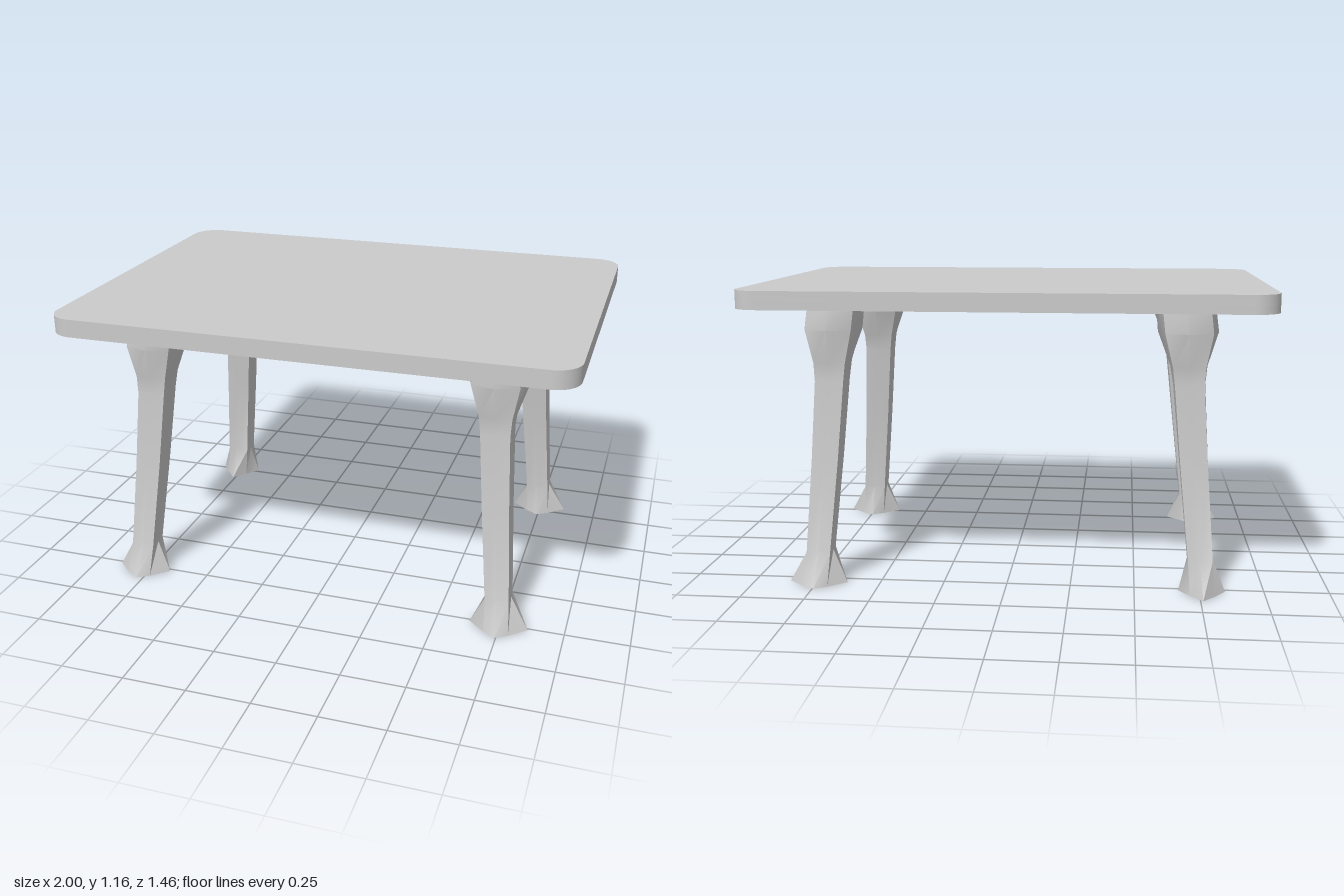
import * as THREE from 'three';
import { toCreasedNormals } from 'three/addons/utils/BufferGeometryUtils.js';

const material = new THREE.MeshStandardMaterial({ color: 0xcccccc });

function addMesh(group, geometry, name) {
  const mesh = new THREE.Mesh(geometry, material);
  mesh.name = name;
  group.add(mesh);
}

function roundedRect(w, d, r) {
  const s = new THREE.Shape();
  s.absarc(w - r, d - r, r, 0, Math.PI / 2);
  s.absarc(-w + r, d - r, r, Math.PI / 2, Math.PI);
  s.absarc(-w + r, -d + r, r, Math.PI, Math.PI * 1.5);
  s.absarc(w - r, -d + r, r, Math.PI * 1.5, Math.PI * 2);
  return s;
}

// Flat board lying between two heights
function board(shape, y0, y1) {
  const g = new THREE.ExtrudeGeometry(shape, { depth: y1 - y0, bevelEnabled: false, curveSegments: 8 });
  g.rotateX(-Math.PI / 2).translate(0, y0, 0);
  return toCreasedNormals(g, 0.6);
}

// Sections from floor to top: y, centre x, centre z, half x, half z, corner x, corner z
const sections = [
  [0, 0.745, 0.51, 0.115, 0.09, 0.048, 0.06],
  [0.13, 0.737, 0.497, 0.049, 0.046, 0.047, 0.044],
  [0.5, 0.709, 0.465, 0.054, 0.051, 0.052, 0.049],
  [0.8, 0.69, 0.442, 0.061, 0.058, 0.056, 0.054],
  [0.87, 0.688, 0.438, 0.07, 0.065, 0.062, 0.058],
  [1.0, 0.685, 0.428, 0.115, 0.115, 0.09, 0.09],
  [1.13, 0.672, 0.412, 0.112, 0.115, 0.09, 0.09],
];

// Squared leg that twists out into a pointed foot; dx and dz shift the foot
function legGeometry(sx, sz, dx, dz, footX, footZ) {
  const pos = [], idx = [];
  sections.forEach(([y, cx, cz, hx, hz, kx, kz], j) => {
    const fade = 1 - y / 1.13;
    const x = sx * (cx + dx * fade), z = sz * (cz + dz * fade);
    if (j === 0) { hx = footX; hz = footZ; }
    const ring = [[hx, 0], [kx, kz], [0, hz], [-kx, kz], [-hx, 0], [-kx, -kz], [0, -hz], [kx, -kz]];
    for (const [px, pz] of ring) pos.push(x + px, y, z + pz);
  });
  const last = sections.length - 1;
  for (let i = 0; i < 8; i++) {
    const n = (i + 1) % 8;
    for (let j = 0; j < last; j++) {
      const a = j * 8 + i, b = j * 8 + n;
      idx.push(a, a + 8, b, b, a + 8, b + 8);
    }
    // End caps
    if (i > 0 && i < 7) idx.push(0, i, n, last * 8, last * 8 + n, last * 8 + i);
  }
  const g = new THREE.BufferGeometry();
  g.setAttribute('position', new THREE.Float32BufferAttribute(pos, 3));
  g.setIndex(idx);
  return toCreasedNormals(g, 0.6);
}

export function createModel() {
  const group = new THREE.Group();
  const W = 1, D = 0.73, rim = 0.1;

  // Table top with a rim around a shallow recess below
  addMesh(group, board(roundedRect(W, D, 0.1), 1.125, 1.165), 'tableTop');
  const frame = roundedRect(W, D, 0.1);
  const w = W - rim, d = D - rim;
  frame.holes.push(new THREE.Path([
    new THREE.Vector2(-w, -d), new THREE.Vector2(-w, d),
    new THREE.Vector2(w, d), new THREE.Vector2(w, -d),
  ]));
  addMesh(group, board(frame, 1.095, 1.125), 'undersideRim');

  // Underside panel sagging gently towards the middle
  const panel = new THREE.PlaneGeometry(2 * w, 2 * d, 24, 18);
  panel.rotateX(Math.PI / 2);
  const p = panel.attributes.position;
  for (let i = 0; i < p.count; i++) {
    const u = p.getX(i) / w, v = p.getZ(i) / d;
    p.setY(i, 1.124 - 0.045 * (1 - u * u) * (1 - v * v));
  }
  panel.computeVertexNormals();
  addMesh(group, panel, 'undersidePanel');

  // Legs, each splayed and turned a little differently
  const legs = [
    ['frontLeftLeg', 1, 1, 0, 0, 0.115, 0.09],
    ['frontRightLeg', -1, 1, 0.032, 0.004, 0.113, 0.088],
    ['backLeftLeg', 1, -1, 0, 0.035, 0.115, 0.088],
    ['backRightLeg', -1, -1, 0.015, 0.007, 0.09, 0.115],
  ];
  for (const [name, ...args] of legs) addMesh(group, legGeometry(...args), name);
  return group;
}
